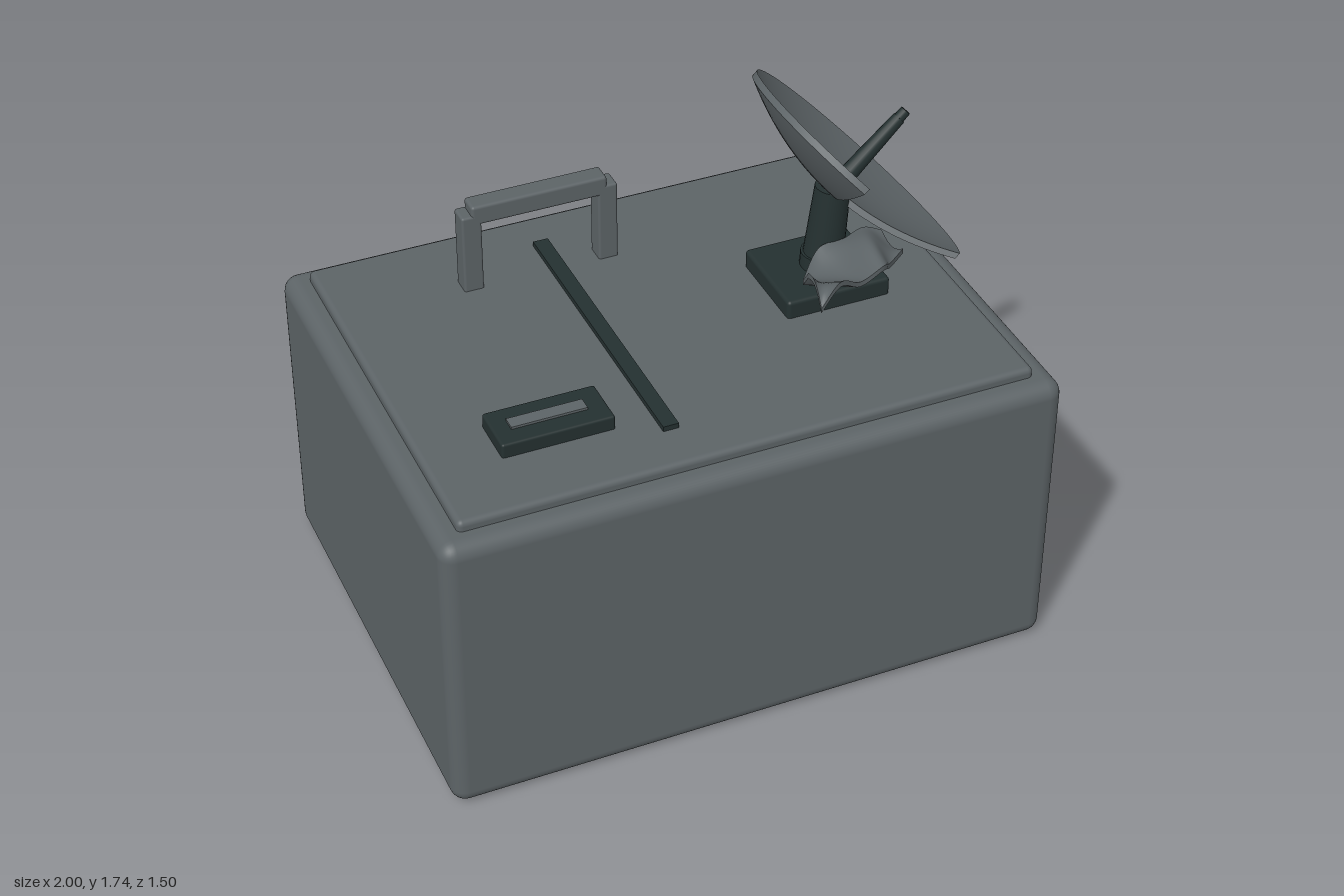
import * as THREE from 'three';
import { toCreasedNormals } from 'three/addons/utils/BufferGeometryUtils.js';
import { RoundedBoxGeometry } from 'three/addons/geometries/RoundedBoxGeometry.js';

const grey = new THREE.MeshStandardMaterial({ color: 0x5c6366 });
grey.name = 'weathered grey';
grey.side = THREE.DoubleSide;
const dark = new THREE.MeshStandardMaterial({ color: 0x243030 });
dark.name = 'dark green grey';

function add(parent, name, geometry, material, x = 0, y = 0, z = 0) {
  const mesh = new THREE.Mesh(geometry, material);
  mesh.name = name;
  mesh.position.set(x, y, z);
  parent.add(mesh);
  return mesh;
}

const rounded = (w, h, d, r) => new RoundedBoxGeometry(w, h, d, 4, r);

// Shallow bowl with a missing wedge, opening along local +y, vertex at the origin
function createDish() {
  const dish = new THREE.Group();
  dish.name = 'brokenDish';
  const radius = 0.42, depth = 0.107, thickness = 0.022, steps = 14;
  const inner = [], outer = [];
  for (let i = 0; i <= steps; i++) {
    const r = (radius * i) / steps;
    const y = depth * (i / steps) ** 2;
    inner.push(new THREE.Vector2(r, y));
    outer.push(new THREE.Vector2(r, y - thickness));
  }
  const profile = [...outer, ...inner.reverse()];
  const start = THREE.MathUtils.degToRad(50);
  const sweep = THREE.MathUtils.degToRad(279);
  const bowl = new THREE.LatheGeometry(profile, 56, start, sweep);
  add(dish, 'dishBowl', toCreasedNormals(bowl, 0.6), grey);
  // Flat faces closing the two torn edges
  for (const phi of [start, start + sweep]) {
    const cap = new THREE.ShapeGeometry(new THREE.Shape(profile));
    add(dish, 'dishCutEdge', cap.rotateY(phi - Math.PI / 2), grey);
  }
  // Feed horn
  add(dish, 'feedSocket', new THREE.CylinderGeometry(0.032, 0.036, 0.06, 16), dark, 0, 0.01, 0);
  add(dish, 'feedArm', new THREE.CylinderGeometry(0.021, 0.03, 0.27, 16), dark, 0, 0.155, 0);
  add(dish, 'feedTip', new THREE.CylinderGeometry(0.017, 0.018, 0.04, 16), dark, 0, 0.3, 0);
  return dish;
}

// Crumpled sheet stretched between an inner and an outer edge curve
function createTornSheet() {
  const curve = (points) => new THREE.CatmullRomCurve3(points.map((p) => new THREE.Vector3(...p)));
  const innerEdge = curve([
    [0.38, 1.235, 0.23], [0.43, 1.12, 0.1], [0.5, 1.19, 0.06],
    [0.58, 1.2, 0.06], [0.66, 1.21, 0.04], [0.72, 1.19, 0.05],
  ]);
  const outerEdge = curve([
    [0.365, 1.19, 0.355], [0.44, 1.25, 0.33], [0.53, 1.2, 0.29],
    [0.61, 1.23, 0.28], [0.67, 1.18, 0.21], [0.745, 1.175, 0.15],
  ]);
  const geometry = new THREE.BoxGeometry(1, 0.018, 1, 30, 1, 12);
  const pos = geometry.attributes.position;
  for (let i = 0; i < pos.count; i++) {
    const u = pos.getX(i) + 0.5, v = pos.getZ(i) + 0.5;
    const p = innerEdge.getPoint(u).lerp(outerEdge.getPoint(u), v);
    const wave = 0.03 * Math.sin(Math.PI * v) * Math.cos(u * 9);
    pos.setXYZ(i, p.x, p.y + pos.getY(i) + wave, p.z);
  }
  geometry.computeVertexNormals();
  return geometry;
}

export function createModel() {
  const model = new THREE.Group();
  model.name = 'caseWithDish';

  // Case and lid
  add(model, 'caseBody', rounded(2, 1, 1.5, 0.05), grey, 0, 0.5, 0);
  add(model, 'lid', rounded(1.85, 0.08, 1.36, 0.018), grey, 0, 0.993, 0);

  // Strip and latch panel on the lid
  add(model, 'lidStrip', new THREE.BoxGeometry(0.05, 0.03, 1.045), dark, -0.2, 1.035, 0);
  add(model, 'latchPanel', rounded(0.356, 0.06, 0.168, 0.008), dark, -0.525, 1.05, 0.37);
  add(model, 'latchInset', new THREE.BoxGeometry(0.24, 0.02, 0.045), grey, -0.53, 1.078, 0.37);

  // Carrying handle
  const handle = new THREE.Group();
  handle.name = 'handle';
  model.add(handle);
  for (const x of [-0.48, -0.027]) {
    add(handle, 'handlePost', rounded(0.065, 0.3, 0.07, 0.008), grey, x, 1.155, -0.405);
  }
  add(handle, 'handleBar', rounded(0.45, 0.068, 0.07, 0.01), grey, -0.254, 1.304, -0.405);

  // Dish mount
  add(model, 'dishBase', rounded(0.35, 0.07, 0.32, 0.012), dark, 0.525, 1.058, 0);
  add(model, 'dishCollar', new THREE.CylinderGeometry(0.072, 0.075, 0.06, 24), dark, 0.545, 1.11, 0);
  const post = add(model, 'dishPost', new THREE.CylinderGeometry(0.056, 0.066, 0.28, 24), dark, 0.555, 1.232, 0);
  post.rotation.z = -0.1;

  // Tilted dish and the torn piece under it
  const dish = createDish();
  dish.position.set(0.578, 1.363, 0);
  dish.rotation.z = -0.806;
  model.add(dish);
  add(model, 'tornSheet', createTornSheet(), grey);

  return model;
}
